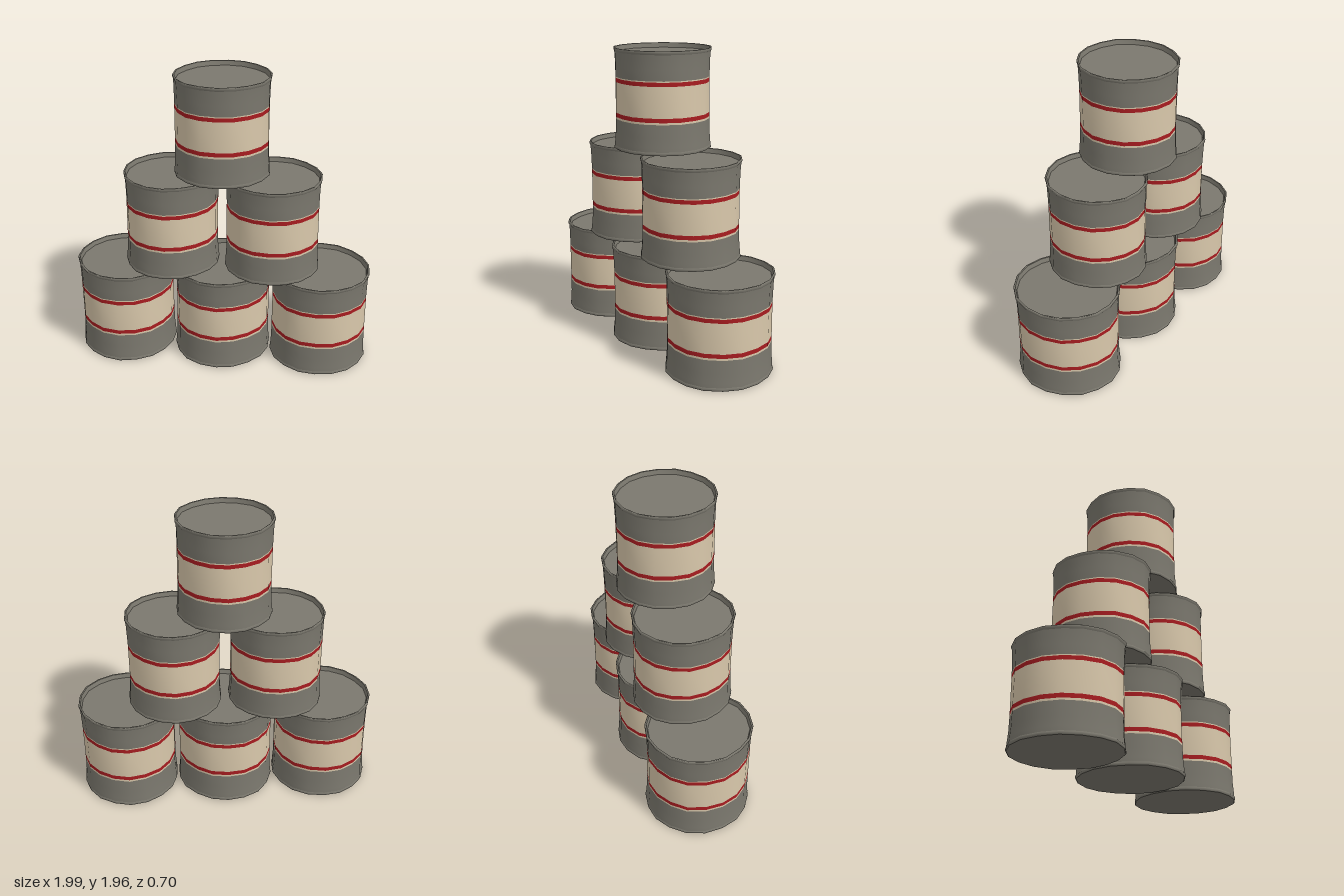
import * as THREE from 'three';
import { mergeVertices } from 'three/addons/utils/BufferGeometryUtils.js';

const SIDES = 18;

const material = (name, color, side = THREE.FrontSide) => {
  const m = new THREE.MeshStandardMaterial({ color, side });
  m.name = name;
  return m;
};

// Revolve a profile of [radius, y] points, then dent it by angle and height
function dentedLathe(profile, seed, sx, sz) {
  const points = profile.map(([r, y]) => new THREE.Vector2(r, y));
  let geo = new THREE.LatheGeometry(points, SIDES);
  const p = geo.attributes.position;
  for (let i = 0; i < p.count; i++) {
    const x = p.getX(i), y = p.getY(i), z = p.getZ(i);
    const a = Math.atan2(x, z);
    const wave = 0.008 * Math.sin(3 * a + seed) + 0.007 * Math.sin(7 * a + seed * 2.3 + y * 5);
    const k = 1 + wave;
    p.setXYZ(i, x * k * sx, y, z * k * sz);
  }
  geo.deleteAttribute('uv');
  geo.deleteAttribute('normal');
  geo = mergeVertices(geo, 1e-5);
  geo.computeVertexNormals();
  return geo;
}

export function createModel() {
  const metal = material('greyMetal', 0x7b786e, THREE.DoubleSide);
  const cream = material('creamLabel', 0xd9c8ab);
  const red = material('redStripe', 0xa81c20);

  function makeCan(name, x, y, h, rx, rz, seed, labelShift) {
    const can = new THREE.Group();
    can.name = name;
    const add = (part, profile, mat) => {
      const mesh = new THREE.Mesh(dentedLathe(profile, seed, rx, rz), mat);
      mesh.name = part;
      can.add(mesh);
    };
    const wall = (y0, y1) => [[0.965, y0], [0.965, y1]];
    // Heights of the label edges and stripe edges
    const [a, b, c, d, e, f] = [0.197, 0.21, 0.237, 0.434, 0.46, 0.467].map(v => v + labelShift);

    // Metal body below and above the label, flaring to the seams
    add('lowerBody', [[0.99, 0.022], [0.985, 0.05], [0.97, 0.11], [0.965, a]], metal);
    add('upperBody', [[0.965, f], [0.97, 0.53], [0.975, h - 0.06], [0.985, h - 0.022]], metal);

    // Label with two stripes
    add('labelLowerEdge', wall(a, b), cream);
    add('lowerStripe', wall(b, c), red);
    add('label', wall(c, d), cream);
    add('upperStripe', wall(d, e), red);
    add('labelUpperEdge', wall(e, f), cream);

    // Rolled seams, sunken lid and base
    add('bottomSeam', [[0.985, 0], [1, 0.004], [1, 0.016], [0.985, 0.024]], metal);
    add('topSeam', [[0.985, h - 0.024], [1, h - 0.014], [1, h - 0.003], [0.985, h], [0.965, h - 0.002]], metal);
    add('innerRim', [[0.965, h - 0.002], [0.94, h - 0.032]], metal);
    add('lid', [[0.94, h - 0.032], [0, h - 0.03]], metal);
    add('base', [[0, 0.004], [0.985, 0]], metal);

    can.position.set(x, y, 0);
    return can;
  }

  const model = new THREE.Group();
  model.name = 'canPyramid';
  // Bottom row of three, middle row of two, one on top
  [-0.667, 0, 0.667].forEach((x, i) =>
    model.add(makeCan(`bottomCan${i + 1}`, x, 0, 0.645, 0.33, 0.346, 1 + i * 1.7, 0)));
  [-0.34, 0.337].forEach((x, i) =>
    model.add(makeCan(`middleCan${i + 1}`, x, 0.65, 0.645, 0.316, 0.325, 2.4 + i * 2.1, -0.01)));
  model.add(makeCan('topCan', 0, 1.307, 0.648, 0.312, 0.319, 4.3, -0.003));
  return model;
}
